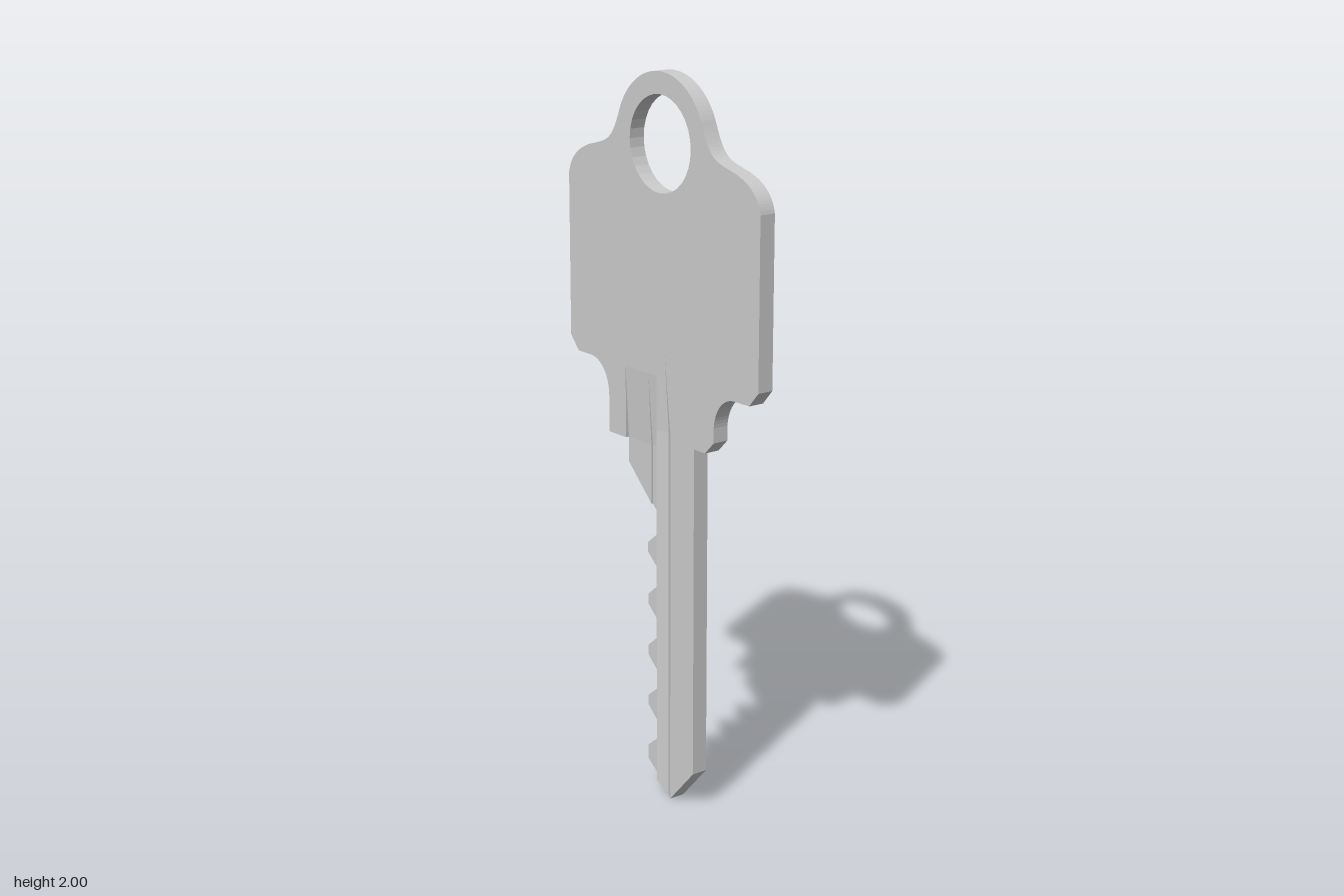
import * as THREE from 'three';

const FACE = 0.023;   // half thickness of the key
const CORE = 0.008;   // half thickness of the thin cut edge
const PAD = 0.013;    // half thickness of the step above the cuts

const material = new THREE.MeshStandardMaterial({ color: 0xcccccc });
const thinMaterial = new THREE.MeshStandardMaterial({ color: 0xcccccc, side: THREE.DoubleSide });

// Extrude a shape between two depths
function slab(name, shape, z0, z1) {
  const geo = new THREE.ExtrudeGeometry(shape, { depth: z1 - z0, bevelEnabled: false, curveSegments: 16 });
  geo.translate(0, 0, z0);
  const mesh = new THREE.Mesh(geo, material);
  mesh.name = name;
  return mesh;
}

// Surface made of three- or four-cornered faces
function facets(name, faces) {
  const pos = [];
  for (const f of faces) {
    for (let i = 1; i < f.length - 1; i++) pos.push(...f[0], ...f[i], ...f[i + 1]);
  }
  const geo = new THREE.BufferGeometry();
  geo.setAttribute('position', new THREE.Float32BufferAttribute(pos, 3));
  geo.computeVertexNormals();
  const mesh = new THREE.Mesh(geo, thinMaterial);
  mesh.name = name;
  return mesh;
}

// Outline from the blade's spine, round the bow, to the far shoulder
function bowOutline() {
  const s = new THREE.Shape();
  s.moveTo(0.145, 0.11);
  s.lineTo(0.145, 1.035);
  s.lineTo(0.19, 1.035);
  s.lineTo(0.225, 1.07);
  s.lineTo(0.225, 1.11);
  s.bezierCurveTo(0.23, 1.165, 0.265, 1.2, 0.31, 1.2);
  s.lineTo(0.365, 1.2);
  s.lineTo(0.4, 1.24);
  s.lineTo(0.4, 1.69);
  s.bezierCurveTo(0.39, 1.74, 0.35, 1.765, 0.3, 1.78);
  s.bezierCurveTo(0.22, 1.8, 0.205, 1.8, 0.168, 1.893);
  s.absarc(0, 1.815, 0.185, 0.435, Math.PI - 0.435, false);
  s.bezierCurveTo(-0.205, 1.8, -0.22, 1.8, -0.3, 1.78);
  s.bezierCurveTo(-0.35, 1.765, -0.39, 1.74, -0.4, 1.69);
  s.lineTo(-0.4, 1.24);
  s.lineTo(-0.365, 1.2);
  s.lineTo(-0.31, 1.2);
  s.bezierCurveTo(-0.265, 1.2, -0.23, 1.165, -0.225, 1.11);
  s.lineTo(-0.225, 1.0);
  // Ring hole
  const hole = new THREE.Path();
  hole.absarc(0, 1.815, 0.127, 0, Math.PI * 2, true);
  s.holes.push(hole);
  return s;
}

function extend(shape, points) {
  for (const [x, y] of points) shape.lineTo(x, y);
  return shape;
}

export function createModel() {
  const key = new THREE.Group();
  key.name = 'key';

  // Thin core with the row of cuts
  const cuts = [[-0.155, 1.0], [-0.15, 0.93], [-0.015, 0.8]];
  for (let i = 0; i < 5; i++) {
    const y = 0.765 - i * 0.15;
    cuts.push([-0.015, y], [-0.072, y - 0.047]);
    if (i < 4) cuts.push([-0.072, y - 0.075], [-0.015, y - 0.125]);
  }
  cuts.push([-0.072, 0.075], [-0.015, 0.035], [0.02, 0.003], [0.045, 0]);
  key.add(slab('core', extend(bowOutline(), cuts), -CORE, CORE));

  // Step above the cuts
  const step = extend(new THREE.Shape().moveTo(-0.15, 1.0) ?? new THREE.Shape(), []);
  step.moveTo(-0.15, 1.0);
  extend(step, [[-0.15, 0.93], [-0.05, 0.834], [-0.05, 1.0]]);
  key.add(slab('cutStep', step, -PAD, PAD));

  for (const side of [1, -1]) {
    const label = side > 0 ? 'front' : 'back';
    const z = FACE * side, deep = (CORE + 0.001) * side, core = CORE * side, pad = PAD * side;

    // Full-thickness face, cut away for the groove and the recess
    const face = extend(bowOutline(), [[-0.15, 1.0], [-0.15, 1.2], [-0.015, 1.2],
      [-0.015, 1.05], [0.02, 1.27], [0.045, 1.05], [0.045, 0]]);
    key.add(slab(label + 'Face', face, Math.min(core, z), Math.max(core, z)));

    // V groove running out to a point on the bow
    const apex = [0.02, 1.27, z];
    const l1 = [-0.015, 1.05, z], c1 = [0.02, 1.05, deep], r1 = [0.045, 1.05, z];
    const l0 = [-0.015, 0.035, z], c0 = [0.02, 0.003, deep], r0 = [0.045, 0, z];
    key.add(facets(label + 'Groove', [
      [apex, l1, c1], [apex, c1, r1],
      [l1, l0, c0, c1], [c1, c0, r0, r1],
      [l1, l0, [-0.015, 0.035, core], [-0.015, 1.05, core]],
      [l0, [-0.015, 0.035, core], c0], [r0, [0.045, 0, core], c0],
    ]));

    // Ramps fading the recess into the bow
    key.add(facets(label + 'Ramps', [
      [[-0.15, 1.2, z], [-0.15, 1.0, pad], [-0.05, 1.0, pad], [-0.05, 1.2, z]],
      [[-0.05, 1.2, z], [-0.05, 1.0, core], [-0.015, 1.0, core], [-0.015, 1.2, z]],
      [[-0.05, 1.2, z], [-0.05, 1.0, pad], [-0.05, 1.0, core]],
    ]));
  }
  return key;
}
